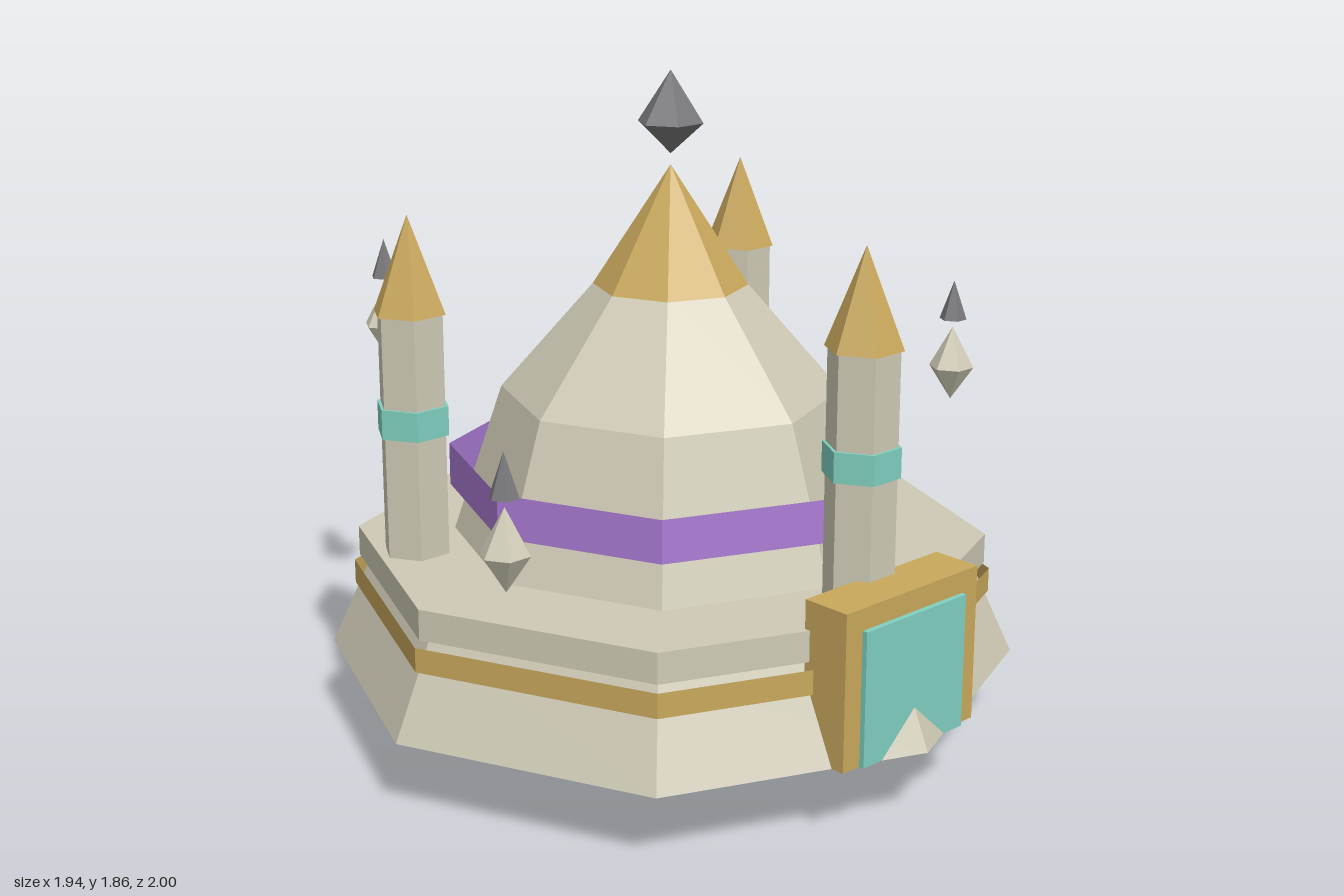
import * as THREE from 'three';

const mat = (color) => new THREE.MeshStandardMaterial({ color, flatShading: true, side: THREE.DoubleSide });

export function createModel() {
  const stone = mat(0xcfcab6), gold = mat(0xc9a85c), teal = mat(0x7fd0c0);
  const purple = mat(0xac7cd6), dark = mat(0x77777a);

  const root = new THREE.Group();
  const citadel = new THREE.Group(); // everything that shares the main axis
  citadel.name = 'citadel';
  citadel.position.z = 0.03;
  root.add(citadel);

  const add = (parent, name, geometry, material, x = 0, y = 0, z = 0) => {
    const mesh = new THREE.Mesh(geometry, material);
    mesh.name = name;
    mesh.position.set(x, y, z);
    parent.add(mesh);
    return mesh;
  };
  // Faceted surface of revolution from [radius, height] pairs
  const turned = (points, sides) =>
    new THREE.LatheGeometry(points.map(([r, y]) => new THREE.Vector2(r, y)), sides);
  // Hexagonal solids have corners on the x axis
  const hex = (points) => turned(points, 6).rotateY(Math.PI / 2);

  // Hull below the platform, open at its small lower end
  add(citadel, 'hull', turned([[0.075, 0], [0.4, 0.08], [0.71, 0.21]], 8), stone);
  add(citadel, 'hullRing', turned([[0.385, 0.076], [0.415, 0.076], [0.415, 0.09], [0.4, 0.09]], 8), gold);

  // Platform: flared skirt, gold band and ledge
  add(citadel, 'skirt', turned([[0.97, 0.21], [0.85, 0.475]], 8), stone);
  add(citadel, 'skirtBand', turned([[0.9, 0.39], [0.9, 0.458]], 8), gold);
  add(citadel, 'ledge', turned([[0, 0.475], [0.885, 0.475], [0.885, 0.56], [0, 0.56]], 8), stone);

  // Dome with a gold cap and a loose ring around it
  add(citadel, 'dome', turned([[0.61, 0.56], [0.47, 0.98], [0.213, 1.275]], 8), stone);
  add(citadel, 'domeCap', turned([[0.213, 1.275], [0, 1.605]], 8), gold);
  add(citadel, 'domeRing', turned([[0.62, 0.69], [0.62, 0.81]], 8), purple);
  add(citadel, 'topCrystal', hex([[0, 1.635], [0.092, 1.72], [0, 1.86]]), dark);

  // Three towers evenly spaced around the dome
  for (let i = 0; i < 3; i++) {
    const a = (i * Math.PI * 2) / 3;
    const tower = new THREE.Group();
    tower.name = 'tower';
    tower.position.set(0.715 * Math.sin(a), 0, 0.715 * Math.cos(a));
    add(tower, 'towerShaft', hex([[0, 0.555], [0.095, 0.555], [0.095, 1.235], [0, 1.235]]), stone);
    add(tower, 'towerBand', hex([[0.095, 0.9], [0.104, 0.9], [0.104, 0.982], [0.095, 0.982]]), teal);
    add(tower, 'towerRoof', hex([[0, 1.235], [0.104, 1.235], [0, 1.5]]), gold);
    citadel.add(tower);
  }

  // Doorway at the front
  add(root, 'doorFrame', new THREE.BoxGeometry(0.5, 0.43, 0.14), gold, 0, 0.425, 0.865);
  add(root, 'doorPanel', new THREE.BoxGeometry(0.38, 0.37, 0.04), teal, 0, 0.395, 0.93);

  // Floating crystals, each with a small dark tip above
  const spots = [[-0.89, 0.815, 0.4], [0.905, 0.92, 0.28], [0.545, 0.81, -0.8], [-0.255, 1.02, -0.945]];
  for (const [x, y, z] of spots) {
    const floater = new THREE.Group();
    floater.name = 'floatingCrystal';
    floater.position.set(x, y, z);
    add(floater, 'crystal', hex([[0, -0.1], [0.066, 0], [0, 0.12]]), stone);
    add(floater, 'crystalTip', hex([[0, 0.145], [0.04, 0.145], [0, 0.26]]), dark);
    root.add(floater);
  }
  return root;
}
